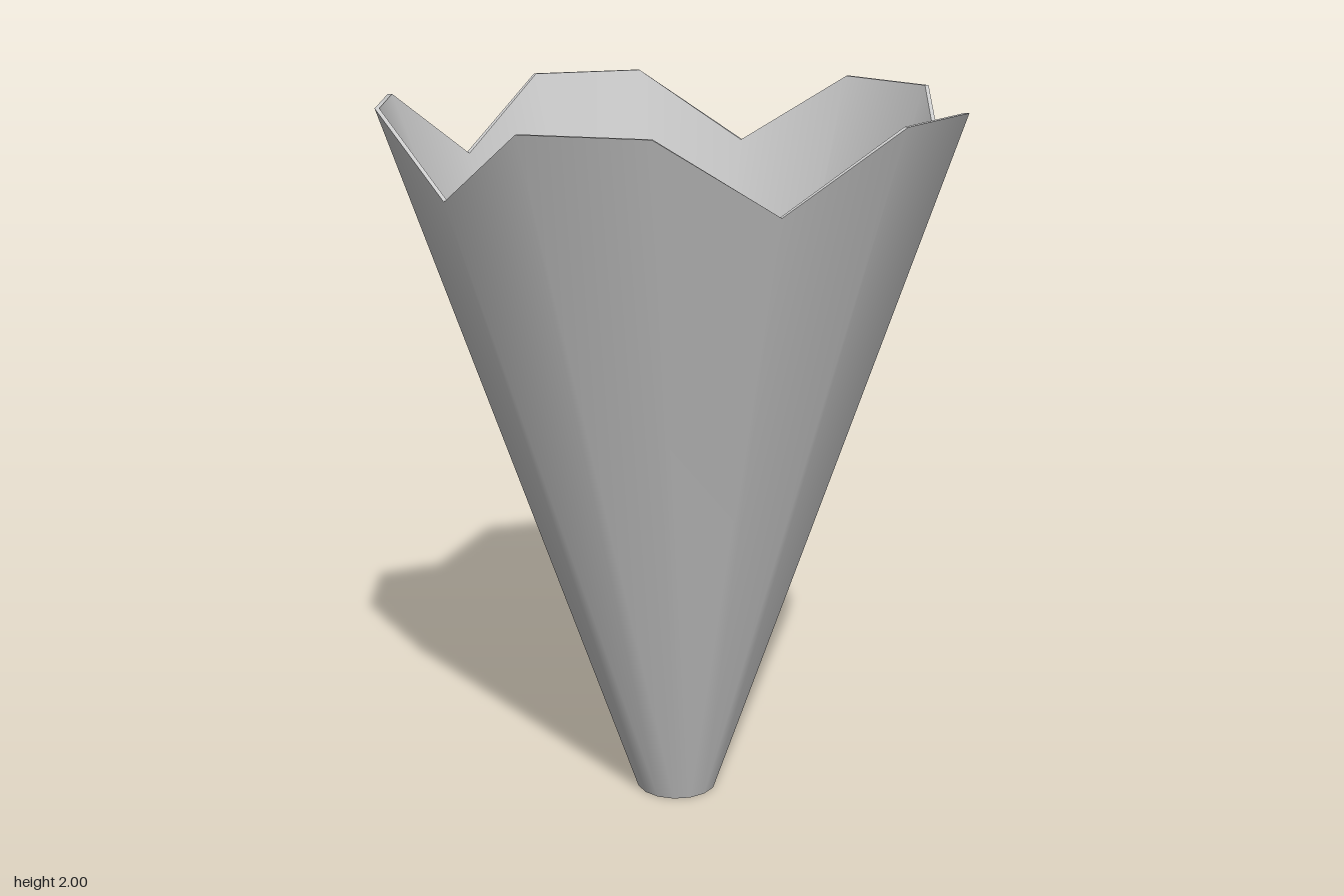
import * as THREE from 'three';
import { toCreasedNormals } from 'three/addons/utils/BufferGeometryUtils.js';

export function createModel() {
  const group = new THREE.Group();
  group.name = 'jaggedFunnel';

  const sides = 15, height = 2, notchHeight = 1.8;
  const step = (Math.PI * 2) / sides;

  // Closed wall section: outer side, rim, inner side, base ring
  const profile = [[0.116, 0], [0.8, height], [0.788, height], [0.104, 0], [0.116, 0]]
    .map(([r, y]) => new THREE.Vector2(r, y));
  const lathe = new THREE.LatheGeometry(profile, sides, Math.PI / 2 - step / 2);

  // Every third rim corner slides down the cone to cut five notches
  const pos = lathe.attributes.position;
  const t = notchHeight / height;
  for (let i = 0; i <= sides; i++) {
    if (i % 3 !== 2) continue;
    for (const [top, bottom] of [[1, 0], [2, 3]]) {
      const a = new THREE.Vector3().fromBufferAttribute(pos, i * profile.length + bottom);
      const b = new THREE.Vector3().fromBufferAttribute(pos, i * profile.length + top);
      a.lerp(b, t);
      pos.setXYZ(i * profile.length + top, a.x, a.y, a.z);
    }
  }

  const geometry = toCreasedNormals(lathe, 0.6);
  geometry.translate(-0.025, 0, 0);

  const wall = new THREE.Mesh(
    geometry,
    new THREE.MeshStandardMaterial({ color: 0xcccccc, side: THREE.DoubleSide })
  );
  wall.name = 'funnelWall';
  group.add(wall);
  return group;
}
